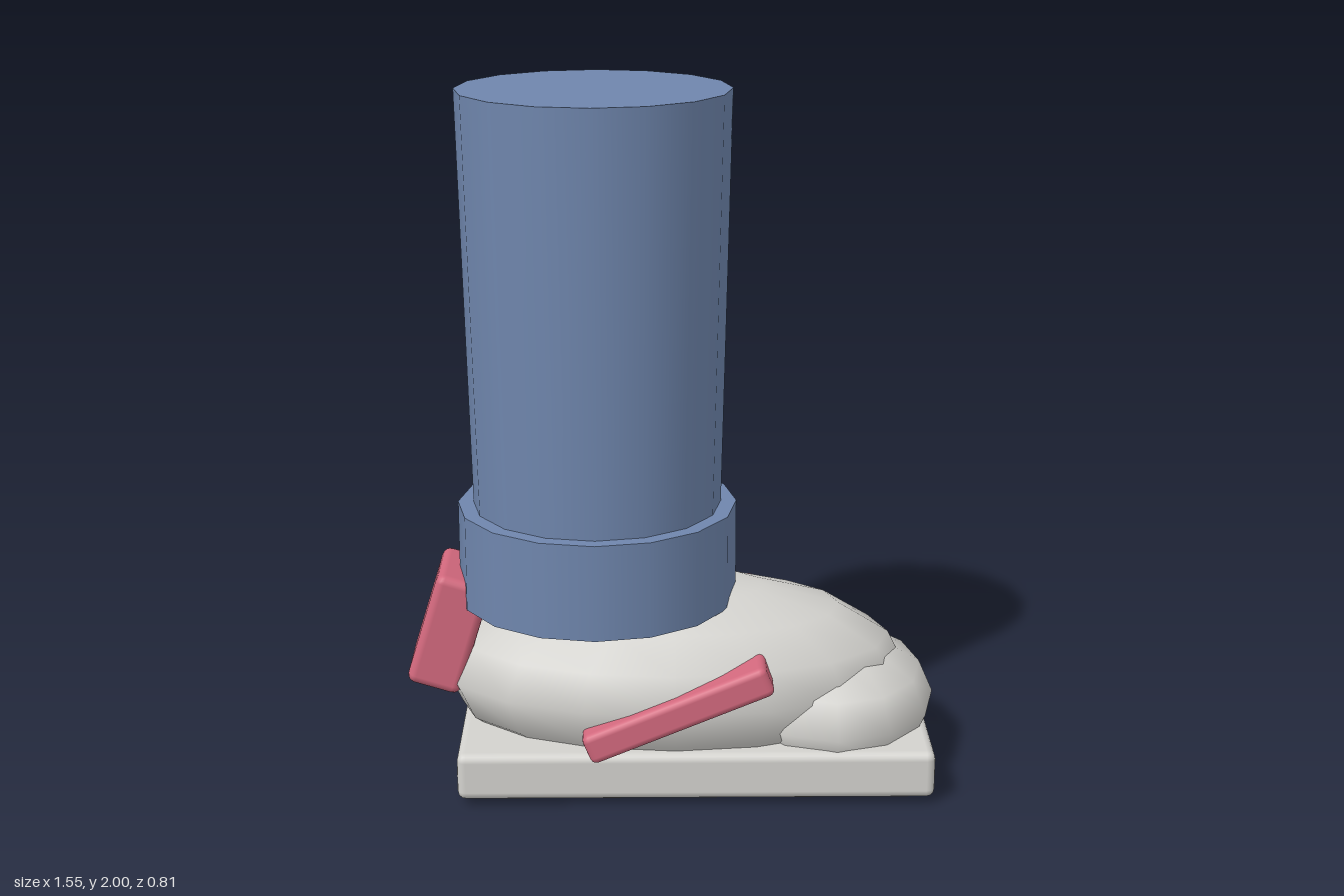
import * as THREE from 'three';
import { RoundedBoxGeometry } from 'three/addons/geometries/RoundedBoxGeometry.js';

export function createModel() {
  const model = new THREE.Group();
  model.name = 'shoeAndLeg';

  const material = (name, color) => {
    const m = new THREE.MeshStandardMaterial({ color });
    m.name = name;
    return m;
  };
  const denim = material('denim blue', 0x6f86ad);
  const canvas = material('pale grey', 0xd3d2ce);
  const accent = material('rose', 0xd2687d);

  const add = (name, geometry, mat, x, y, z, tilt = 0) => {
    const mesh = new THREE.Mesh(geometry, mat);
    mesh.name = name;
    mesh.position.set(x, y, z);
    mesh.rotation.z = tilt;
    model.add(mesh);
    return mesh;
  };
  const ellipsoid = (rx, ry, rz, sides, rings) =>
    new THREE.SphereGeometry(1, sides, rings).scale(rx, ry, rz);

  // Sole slab
  add('sole', new RoundedBoxGeometry(1.365, 0.14, 0.74, 2, 0.025), canvas, 0.058, 0.09, 0);

  // Rounded upper and toe cap, both poking slightly through the sole
  add('upper', ellipsoid(0.685, 0.28, 0.385, 16, 8), canvas, 0, 0.283, 0);
  add('toeCap', ellipsoid(0.31, 0.19, 0.375, 12, 6), canvas, 0.46, 0.2, 0);

  // Slanted stripe on each side
  for (const side of [1, -1]) {
    add(side > 0 ? 'frontStripe' : 'backStripe',
      new RoundedBoxGeometry(0.56, 0.09, 0.14, 2, 0.02), accent, 0.005, 0.29, side * 0.335, 0.393);
  }

  // Heel tab leaning towards the leg
  add('heelTab', new RoundedBoxGeometry(0.16, 0.345, 0.28, 2, 0.025), accent, -0.658, 0.432, 0, -0.3);

  // Trouser leg and its turned-up cuff
  add('trouserLeg', new THREE.CylinderGeometry(0.388, 0.354, 1.45, 16), denim, -0.225, 1.275, 0);
  add('cuff', new THREE.CylinderGeometry(0.405, 0.405, 0.28, 16), denim, -0.225, 0.66, 0);

  return model;
}
